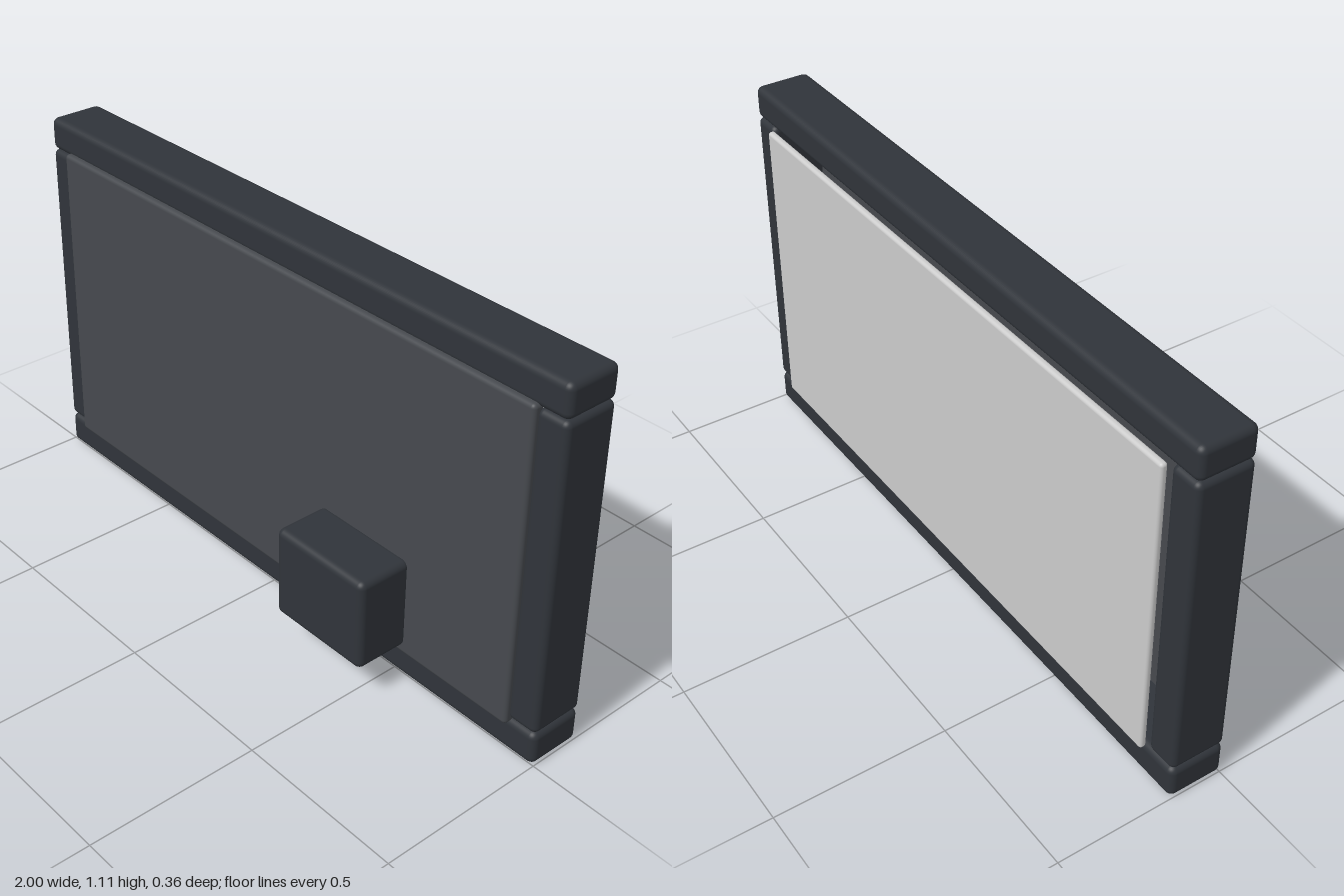
import * as THREE from 'three';
import { RoundedBoxGeometry } from 'three/addons/geometries/RoundedBoxGeometry.js';

const frameMat = new THREE.MeshStandardMaterial({ color: 0x30343a });
const coverMat = new THREE.MeshStandardMaterial({ color: 0x46494e });
const screenMat = new THREE.MeshStandardMaterial({ color: 0xcccccc });

// Rounded box spanning the given [min, max] ranges
function block(name, x, y, z, radius, material) {
  const size = [x, y, z].map(([a, b]) => b - a);
  const mid = [x, y, z].map(([a, b]) => (a + b) / 2);
  const mesh = new THREE.Mesh(new RoundedBoxGeometry(...size, 4, radius), material);
  mesh.position.set(...mid);
  mesh.name = name;
  return mesh;
}

export function createModel() {
  const model = new THREE.Group();
  model.name = 'framedPanel';
  const depth = [-0.16, 0.007];

  // Frame: full-width rails with side posts held between them
  model.add(
    block('bottomRail', [-1, 1], [0, 0.1], depth, 0.02, frameMat),
    block('topRail', [-1, 1], [1.015, 1.112], depth, 0.02, frameMat),
    block('leftPost', [0.905, 1], [0.102, 1.014], depth, 0.018, frameMat),
    block('rightPost', [-1, -0.905], [0.102, 1.014], depth, 0.018, frameMat)
  );

  // Front cover and the thin pale sheet standing just behind the frame
  model.add(
    block('frontCover', [-0.915, 0.915], [0.088, 1.028], [-0.012, 0.023], 0.012, coverMat),
    block('backScreen', [-0.9, 0.9], [0.102, 1.014], [-0.181, -0.16], 0.009, screenMat)
  );

  // Control box on the front cover
  model.add(block('controlBox', [0.22, 0.55], [0.114, 0.39], [0.01, 0.182], 0.02, frameMat));
  return model;
}
